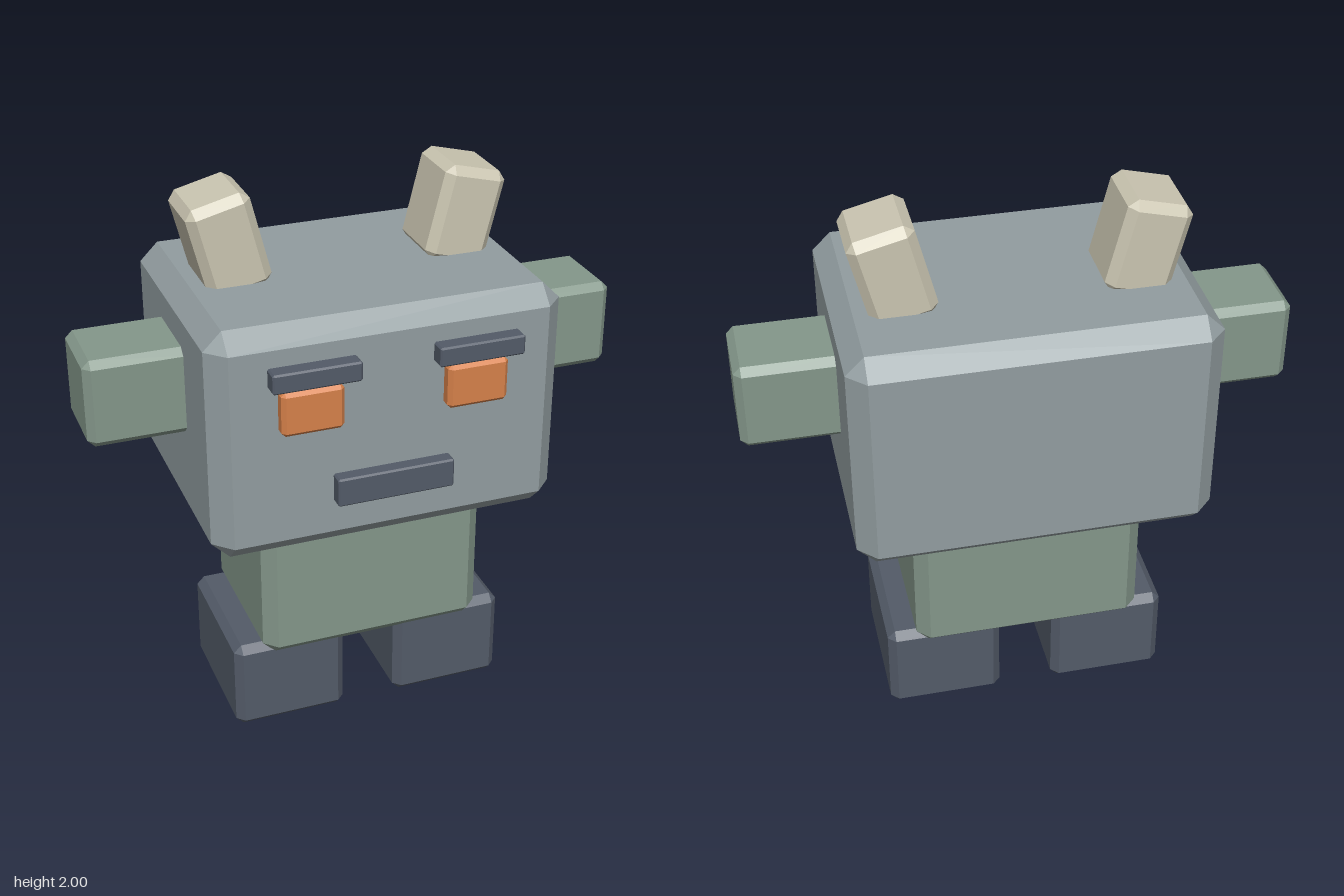
import * as THREE from 'three';
import { ConvexGeometry } from 'three/addons/geometries/ConvexGeometry.js';

const material = (name, color) => {
  const m = new THREE.MeshStandardMaterial({ color });
  m.name = name;
  return m;
};

// Box with flat 45 degree chamfers on every edge, centred on the origin
function chamferBox(w, h, d, c) {
  const points = [];
  for (const x of [-w / 2, w / 2])
    for (const y of [-h / 2, h / 2])
      for (const z of [-d / 2, d / 2]) {
        const ix = x - Math.sign(x) * c, iy = y - Math.sign(y) * c, iz = z - Math.sign(z) * c;
        points.push(
          new THREE.Vector3(x, iy, iz),
          new THREE.Vector3(ix, y, iz),
          new THREE.Vector3(ix, iy, z)
        );
      }
  return new ConvexGeometry(points);
}

export function createModel() {
  const model = new THREE.Group();
  model.name = 'blockRobot';

  const grey = material('steelGrey', 0x929da0);
  const green = material('mossGreen', 0x84978a);
  const slate = material('darkSlate', 0x535b68);
  const orange = material('orange', 0xd6814a);
  const bone = material('bone', 0xcac5b1);

  // Adds a chamfered block given its extent on each axis
  function block(name, mat, [x0, x1], [y0, y1], [z0, z1], chamfer) {
    const mesh = new THREE.Mesh(chamferBox(x1 - x0, y1 - y0, z1 - z0, chamfer), mat);
    mesh.position.set((x0 + x1) / 2, (y0 + y1) / 2, (z0 + z1) / 2);
    mesh.name = name;
    model.add(mesh);
    return mesh;
  }

  // Central parts
  block('head', grey, [-0.627, 0.627], [0.84, 1.685], [-0.5, 0.425], 0.065);
  block('body', green, [-0.415, 0.415], [0.31, 0.92], [-0.345, 0.275], 0.046);
  block('mouth', slate, [-0.21, 0.21], [1.025, 1.13], [0.415, 0.475], 0.006);

  // Mirrored parts
  for (const [side, s] of [['left', 1], ['right', -1]]) {
    const span = (a, b) => (s > 0 ? [a, b] : [-b, -a]);
    block(side + 'Foot', slate, span(0.1, 0.52), [0, 0.35], [-0.305, 0.235], 0.028);
    block(side + 'Arm', green, span(0.57, 0.965), [1.2, 1.52], [-0.19, 0.115], 0.026);
    block(side + 'Eye', orange, span(0.183, 0.4), [1.32, 1.48], [0.4, 0.47], 0.014);
    block(side + 'Brow', slate, span(0.135, 0.44), [1.5, 1.57], [0.44, 0.503], 0.006);

    // Horns lean outwards and sink into the top of the head
    const horn = block(side + 'Horn', bone, span(0.311, 0.541), [1.642, 1.986], [-0.23, 0.04], 0.03);
    horn.rotation.z = -0.245 * s;
  }

  return model;
}
